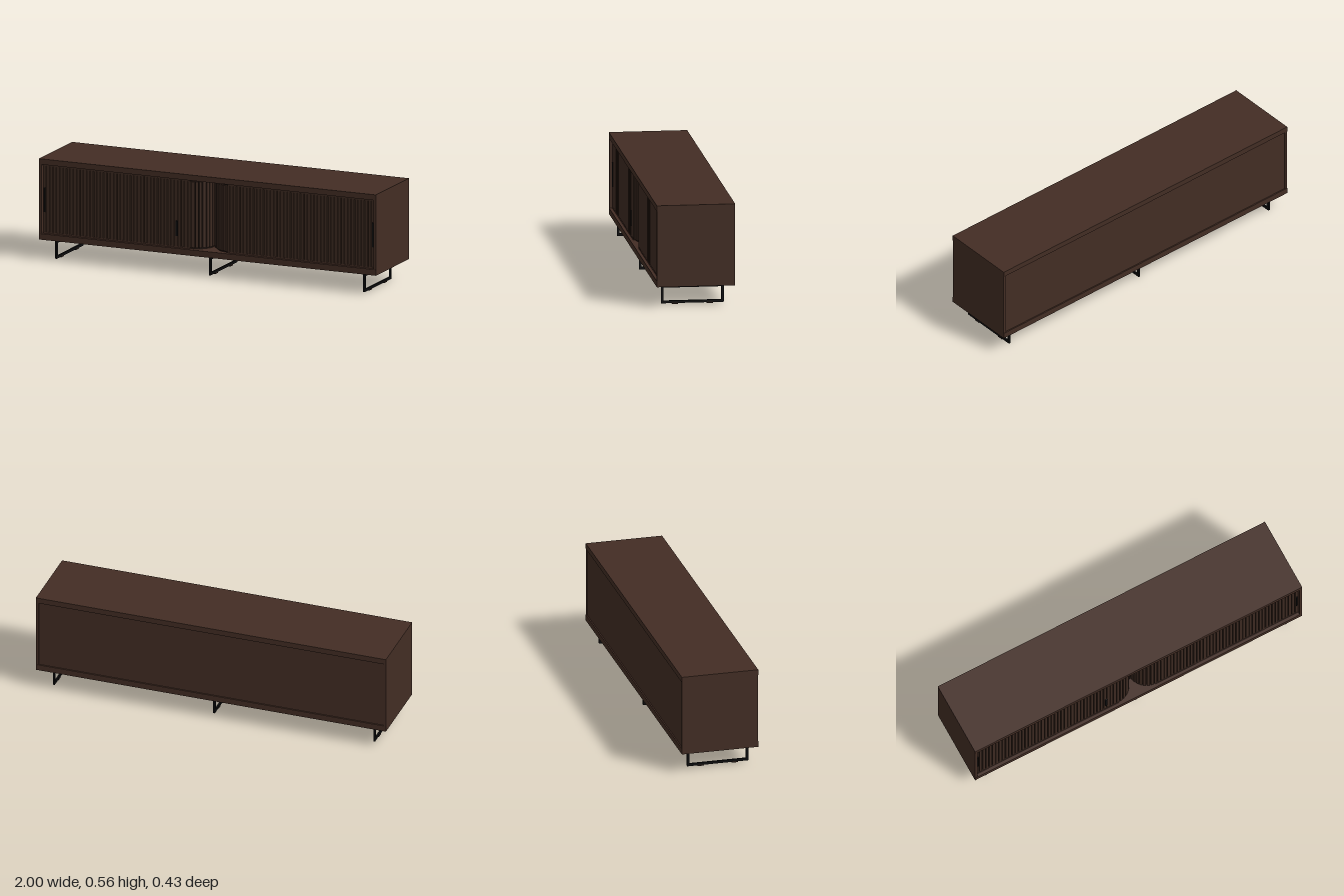
import * as THREE from 'three';

const mat = (name, color) => {
  const m = new THREE.MeshStandardMaterial({ color });
  m.name = name;
  return m;
};

export function createModel() {
  const wood = mat('dark walnut', 0x432d24);
  const slatWood = mat('slat walnut', 0x3d2a21);
  const groove = mat('groove shadow brown', 0x241813);
  const metal = mat('black metal', 0x0c0c0d);

  const model = new THREE.Group();
  model.name = 'tambourSideboard';

  const box = (parent, name, material, w, h, d, x, y, z) => {
    const mesh = new THREE.Mesh(new THREE.BoxGeometry(w, h, d), material);
    mesh.name = name;
    mesh.position.set(x, y, z);
    parent.add(mesh);
    return mesh;
  };

  // Carcass
  const bottomY = 0.143, topY = 0.527, midY = (bottomY + topY) / 2, innerH = topY - bottomY;
  box(model, 'topPanel', wood, 2, 0.031, 0.426, 0, 0.5425, 0);
  box(model, 'bottomPanel', wood, 2, 0.033, 0.426, 0, 0.1265, 0);
  box(model, 'backPanel', wood, 1.97, innerH, 0.012, 0, midY, -0.2);
  box(model, 'centrePartition', groove, 0.008, innerH, 0.3, 0, midY, -0.045);
  for (const s of [-1, 1]) box(model, 'sidePanel', wood, 0.015, innerH, 0.424, s * 0.9925, midY, 0);

  // Sliding doors: straight run, quarter turn, then inward along the partition
  const face = 0.19, radius = 0.1, inner = 0.012, outer = 0.985, deep = -0.19;
  const turnX = inner + radius, turnZ = face - radius;
  const slatY0 = 0.151, slatY1 = 0.516, pitch = 0.02;
  const straight = outer - turnX, arc = radius * Math.PI / 2;
  const total = straight + arc + turnZ - deep;

  // Position and facing angle at a distance along the door
  const doorPoint = (d) => {
    if (d < straight) return [outer - d, face, 0];
    if (d < straight + arc) {
      const a = (d - straight) / radius;
      return [turnX - radius * Math.sin(a), turnZ + radius * Math.cos(a), -a];
    }
    return [inner, turnZ - (d - straight - arc), -Math.PI / 2];
  };

  for (const s of [-1, 1]) {
    const door = new THREE.Group();
    door.name = s > 0 ? 'leftDoor' : 'rightDoor';
    model.add(door);

    // Dark core behind the slats
    const b = 0.005;
    const shape = new THREE.Shape();
    shape.moveTo(s * outer, -(face - b));
    for (let i = 0; i <= 12; i++) {
      const a = i / 12 * Math.PI / 2;
      shape.lineTo(s * (turnX - (radius - b) * Math.sin(a)), -(turnZ + (radius - b) * Math.cos(a)));
    }
    shape.lineTo(s * (inner + b), -deep);
    shape.lineTo(s * outer, -deep);
    const coreGeo = new THREE.ExtrudeGeometry(shape, { depth: innerH, bevelEnabled: false });
    coreGeo.rotateX(-Math.PI / 2);
    const core = new THREE.Mesh(coreGeo, groove);
    core.name = 'doorCore';
    core.position.y = bottomY;
    door.add(core);

    // Vertical slats
    for (let d = pitch / 2; d < total; d += pitch) {
      const [x, z, a] = doorPoint(d);
      const slat = box(door, 'slat', slatWood, 0.016, slatY1 - slatY0, 0.01, s * x, (slatY0 + slatY1) / 2, z);
      slat.rotation.y = s * a;
    }

    // Rails above and below the straight run
    const railX = s * (outer + turnX) / 2;
    box(door, 'upperTrack', slatWood, straight, topY - slatY1, 0.012, railX, (topY + slatY1) / 2, face);
    box(door, 'lowerTrack', wood, straight, slatY0 - bottomY, 0.012, railX, (bottomY + slatY0) / 2, face);

    // Slim pull at the outer edge
    box(door, 'edgePull', metal, 0.008, 0.135, 0.006, s * 0.975, 0.33, face + 0.006);
  }
  box(model, 'doorPull', metal, 0.012, 0.085, 0.008, -0.19, 0.25, face + 0.007);

  // Sled legs: rectangular loops with a mounting plate and pads
  for (const x of [-0.915, 0, 0.915]) {
    const leg = new THREE.Group();
    leg.name = 'sledLeg';
    leg.position.x = x;
    model.add(leg);
    for (const y of [0.0115, 0.0975]) box(leg, 'legBar', metal, 0.01, 0.014, 0.342, 0, y, 0.009);
    for (const z of [0.173, -0.155]) box(leg, 'legPost', metal, 0.01, 0.1, 0.014, 0, 0.0545, z);
    box(leg, 'mountingPlate', metal, 0.01, 0.007, 0.222, 0, 0.107, 0.009);
    for (const z of [0.104, -0.086]) box(leg, 'footPad', groove, 0.011, 0.008, 0.033, 0, 0.004, z);
  }

  return model;
}
